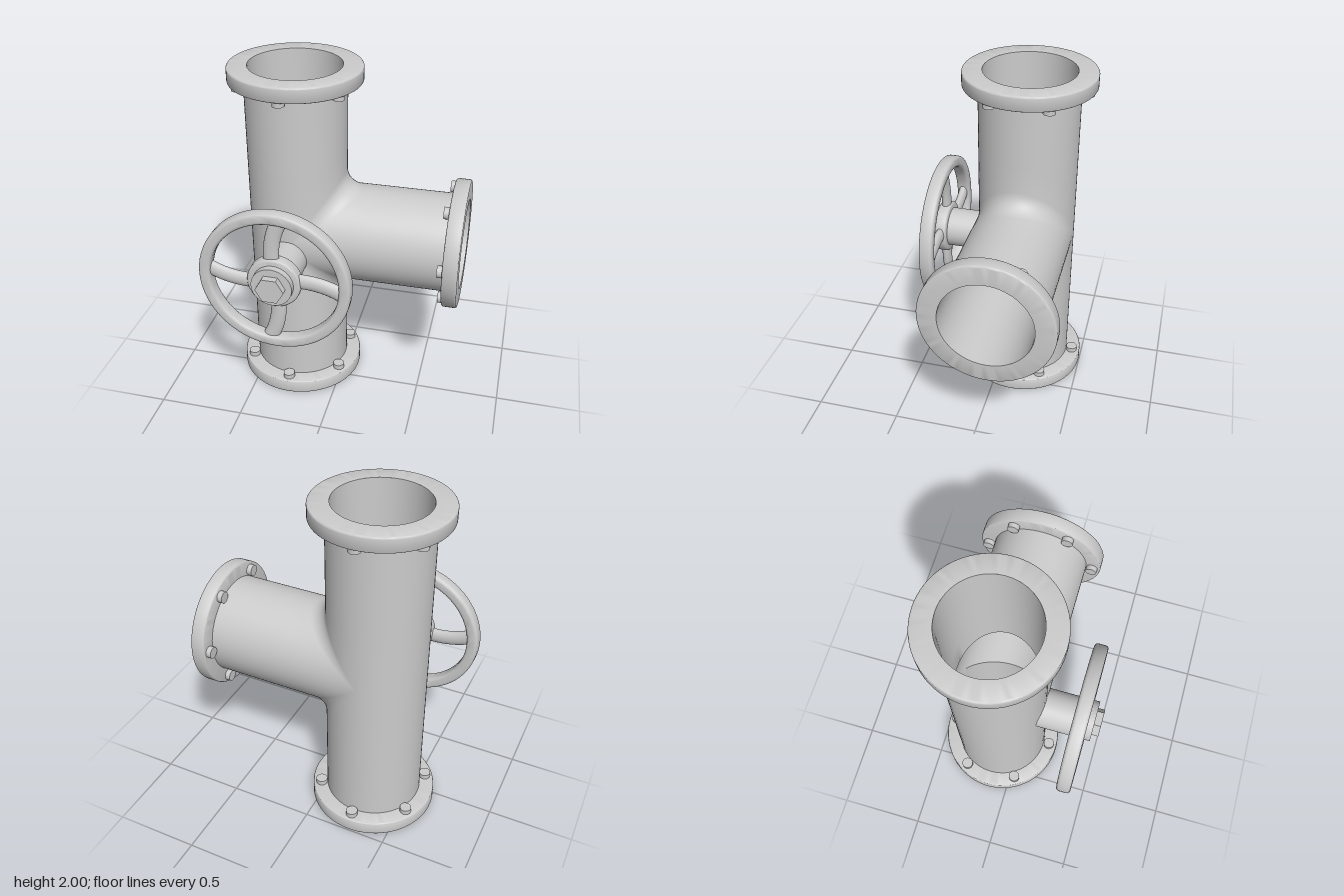
import * as THREE from 'three';
import { mergeGeometries, toCreasedNormals } from 'three/addons/utils/BufferGeometryUtils.js';

const CREASE = 0.6;
const AXIS_X = -0.277, AXIS_Z = -0.125, BRANCH_Y = 1.005;
const OUTER = 0.286, BORE = 0.26, FILLET = 0.1;
const TOP = 2 - BRANCH_Y, BOTTOM = -BRANCH_Y, BRANCH_END = 0.71 - AXIS_X;

const material = new THREE.MeshStandardMaterial({ color: 0xcccccc });

function addMesh(parent, name, geometry) {
  const mesh = new THREE.Mesh(geometry, material);
  mesh.name = name;
  parent.add(mesh);
  return mesh;
}

// Surface patch from fn(u, v) => [x, y, z]; flip turns its face around
function patch(fn, nu, nv, flip) {
  const pos = [], index = [];
  for (let j = 0; j <= nv; j++)
    for (let i = 0; i <= nu; i++) pos.push(...fn(i / nu, j / nv));
  for (let j = 0; j < nv; j++)
    for (let i = 0; i < nu; i++) {
      const a = j * (nu + 1) + i, b = a + 1, c = a + nu + 1, d = c + 1;
      if (flip) index.push(a, b, c, b, d, c);
      else index.push(a, c, b, b, c, d);
    }
  const g = new THREE.BufferGeometry();
  g.setAttribute('position', new THREE.Float32BufferAttribute(pos, 3));
  g.setIndex(index);
  return g;
}

// Two equal pipes meeting at a right angle, trimmed along their joint,
// with an optional rolling-ball fillet of radius r
function teeSurface(R, r, inside) {
  const N = 72, lerp = THREE.MathUtils.lerp, parts = [];
  const cut = a => Math.max(0, (R + r) * Math.cos(a));
  const run = (u, y0, y1) => {
    const a = 2 * Math.PI * u;
    return [R * Math.cos(a), lerp(y0(a), y1(a), 0), R * Math.sin(a)];
  };
  const mainPipe = (y0, y1) => patch((u, v) => {
    const a = 2 * Math.PI * u, p = run(u, y0, y1);
    p[1] = lerp(y0(a), y1(a), v);
    return p;
  }, N, 4, inside);
  parts.push(mainPipe(cut, () => TOP), mainPipe(() => BOTTOM, a => -cut(a)));

  parts.push(patch((u, v) => {
    const a = -2 * Math.PI * u;
    const start = (R + r) * Math.abs(Math.cos(a));
    return [lerp(start, BRANCH_END, v), R * Math.cos(a), R * Math.sin(a)];
  }, N, 4, inside));

  if (r > 0) for (const side of [1, -1]) {
    parts.push(patch((u, v) => {
      const t = side * (Math.PI / 2 - Math.PI * u);
      const c = Math.cos(t), s = Math.sin(t), f = v * Math.PI / 2;
      const dir = new THREE.Vector3(c * Math.cos(f), c * Math.sin(f), s).normalize();
      const k = R + r;
      return [k * c - r * dir.x, side * (k * c - r * dir.y), k * s - r * dir.z];
    }, N / 2, 8, inside));
  }
  return toCreasedNormals(mergeGeometries(parts), CREASE);
}

// Turned disc or ring with rounded edges, along y
function turned(ri, ro, y0, y1, b, closed) {
  const pts = [];
  const arc = (x, y, quarter) => {
    for (let i = 0; i <= 4; i++) {
      const a = (quarter + i / 4) * Math.PI / 2;
      pts.push(new THREE.Vector2(x + b * Math.cos(a), y + b * Math.sin(a)));
    }
  };
  if (!closed) pts.push(new THREE.Vector2(ri, y0));
  arc(ro - b, y0 + b, -1);
  arc(ro - b, y1 - b, 0);
  if (closed) {
    arc(ri + b, y1 - b, 1);
    arc(ri + b, y0 + b, 2);
    pts.push(pts[0].clone());
  } else pts.push(new THREE.Vector2(ri, y1));
  return toCreasedNormals(new THREE.LatheGeometry(pts, 80), CREASE);
}

// Flange with its open face at y = 0 and bolts on the back
function makeFlange(name) {
  const flange = new THREE.Group();
  flange.name = name;
  const thick = 0.087;
  addMesh(flange, 'flangeRing', turned(BORE, 0.373, -thick, 0, 0.012, false));
  for (let i = 0; i < 6; i++) {
    const a = i * Math.PI / 3;
    const bolt = addMesh(flange, 'bolt', new THREE.CylinderGeometry(0.034, 0.034, 0.04, 20));
    bolt.position.set(0.322 * Math.sin(a), -thick - 0.01, 0.322 * Math.cos(a));
  }
  return flange;
}

// Hand wheel facing +z, centred on its own axis
function makeHandWheel() {
  const wheel = new THREE.Group();
  wheel.name = 'handWheel';
  const facing = g => g.rotateX(Math.PI / 2);

  addMesh(wheel, 'wheelRim', facing(turned(0.369, 0.437, 0.34, 0.422, 0.02, true)));
  addMesh(wheel, 'wheelHub', facing(turned(0, 0.154, 0.345, 0.417, 0.015, false)));

  const stem = new THREE.CylinderGeometry(0.117, 0.117, 0.335, 48).translate(0, 0.2875, 0);
  addMesh(wheel, 'stem', facing(stem));

  const nut = new THREE.CylinderGeometry(0.082, 0.082, 0.06, 6, 1, false, Math.PI / 2);
  addMesh(wheel, 'hexNut', toCreasedNormals(facing(nut.translate(0, 0.464, 0)), CREASE));

  // Curved, flattened spokes
  const path = new THREE.QuadraticBezierCurve3(
    new THREE.Vector3(-0.015, 0.11, 0),
    new THREE.Vector3(-0.025, 0.27, 0),
    new THREE.Vector3(0.045, 0.395, 0));
  const spoke = new THREE.TubeGeometry(path, 20, 0.045, 16).scale(1, 1, 0.6);
  for (let i = 0; i < 4; i++) {
    const mesh = addMesh(wheel, 'spoke', spoke);
    mesh.position.z = 0.381;
    mesh.rotation.z = i * Math.PI / 2;
  }
  return wheel;
}

export function createModel() {
  const model = new THREE.Group();
  model.name = 'pipeValve';

  const pipes = new THREE.Group();
  pipes.name = 'teePipe';
  pipes.position.set(AXIS_X, BRANCH_Y, AXIS_Z);
  addMesh(pipes, 'pipeOuterWall', teeSurface(OUTER, FILLET, false));
  addMesh(pipes, 'pipeBore', teeSurface(BORE, 0, true));

  const top = makeFlange('topFlange');
  top.position.y = TOP;
  const bottom = makeFlange('bottomFlange');
  bottom.position.y = BOTTOM;
  bottom.rotation.x = Math.PI;
  const branch = makeFlange('branchFlange');
  branch.position.x = BRANCH_END;
  branch.rotation.z = -Math.PI / 2;
  pipes.add(top, bottom, branch);

  const wheel = makeHandWheel();
  wheel.position.set(AXIS_X, 0.927, 0);

  model.add(pipes, wheel);
  return model;
}
